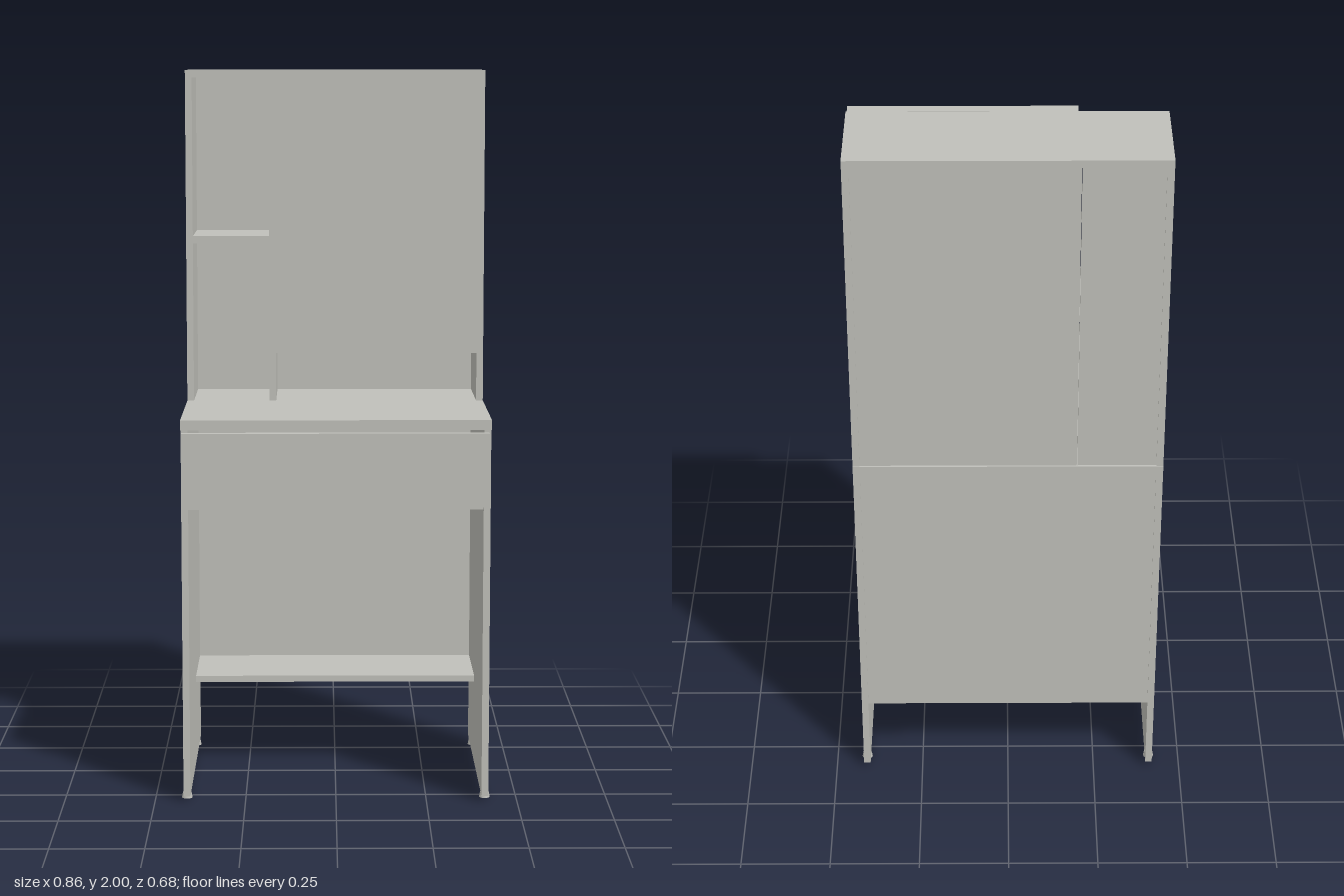
import * as THREE from 'three';

export function createModel() {
  const model = new THREE.Group();
  model.name = 'dressingDesk';
  const paint = new THREE.MeshStandardMaterial({ color: 0xc0c0ba });
  paint.name = 'warmGrey';

  // Board given by its limits on each axis
  const board = (name, [x0, x1], [y0, y1], [z0, z1]) => {
    const mesh = new THREE.Mesh(new THREE.BoxGeometry(x1 - x0, y1 - y0, z1 - z0), paint);
    mesh.name = name;
    mesh.position.set((x0 + x1) / 2, (y0 + y1) / 2, (z0 + z1) / 2);
    model.add(mesh);
  };

  const outer = 0.421, inner = 0.402, back = -0.338;
  const full = [-outer, outer], bay = [-inner, inner];

  // Side panels of desk and hutch, with feet below
  for (const side of [-1, 1]) {
    const label = side > 0 ? 'left' : 'right';
    const x = side > 0 ? [inner, outer] : [-outer, -inner];
    board(label + 'DeskSide', x, [0.015, 1.04], [back, 0.318]);
    board(label + 'HutchSide', x, [1.067, 1.98], [back, -0.066]);
    for (const z of [-0.29, 0.272]) {
      const foot = new THREE.Mesh(new THREE.CylinderGeometry(0.012, 0.015, 0.015, 20), paint);
      foot.name = label + 'Foot';
      foot.position.set(side * 0.413, 0.0075, z);
      model.add(foot);
    }
  }

  // Desk
  board('deskTop', full, [1.04, 1.067], [-0.34, 0.34]);
  board('deskBack', bay, [0.235, 1.04], [-0.334, -0.32]);
  board('footShelf', bay, [0.247, 0.265], [-0.32, -0.06]);
  board('drawerFront', [-0.419, 0.416], [0.828, 1.03], [0.318, 0.338]);
  board('drawerFloor', bay, [0.818, 0.834], [-0.32, 0.316]);

  // Hutch with open bay, divider and two back panels
  board('hutchTop', full, [1.98, 2], [-0.34, -0.066]);
  board('divider', [-0.187, -0.168], [1.067, 1.98], [-0.33, -0.066]);
  board('openBayShelf', [-inner, -0.187], [1.515, 1.535], [-0.324, -0.07]);
  board('narrowBack', [-inner, -0.188], [1.067, 1.98], [-0.334, -0.324]);
  board('wideBack', [-0.186, inner], [1.067, 1.98], [-0.334, -0.324]);

  // Door in front of the closed bay
  board('door', [-0.185, 0.418], [1.207, 2], [-0.065, -0.035]);

  return model;
}
